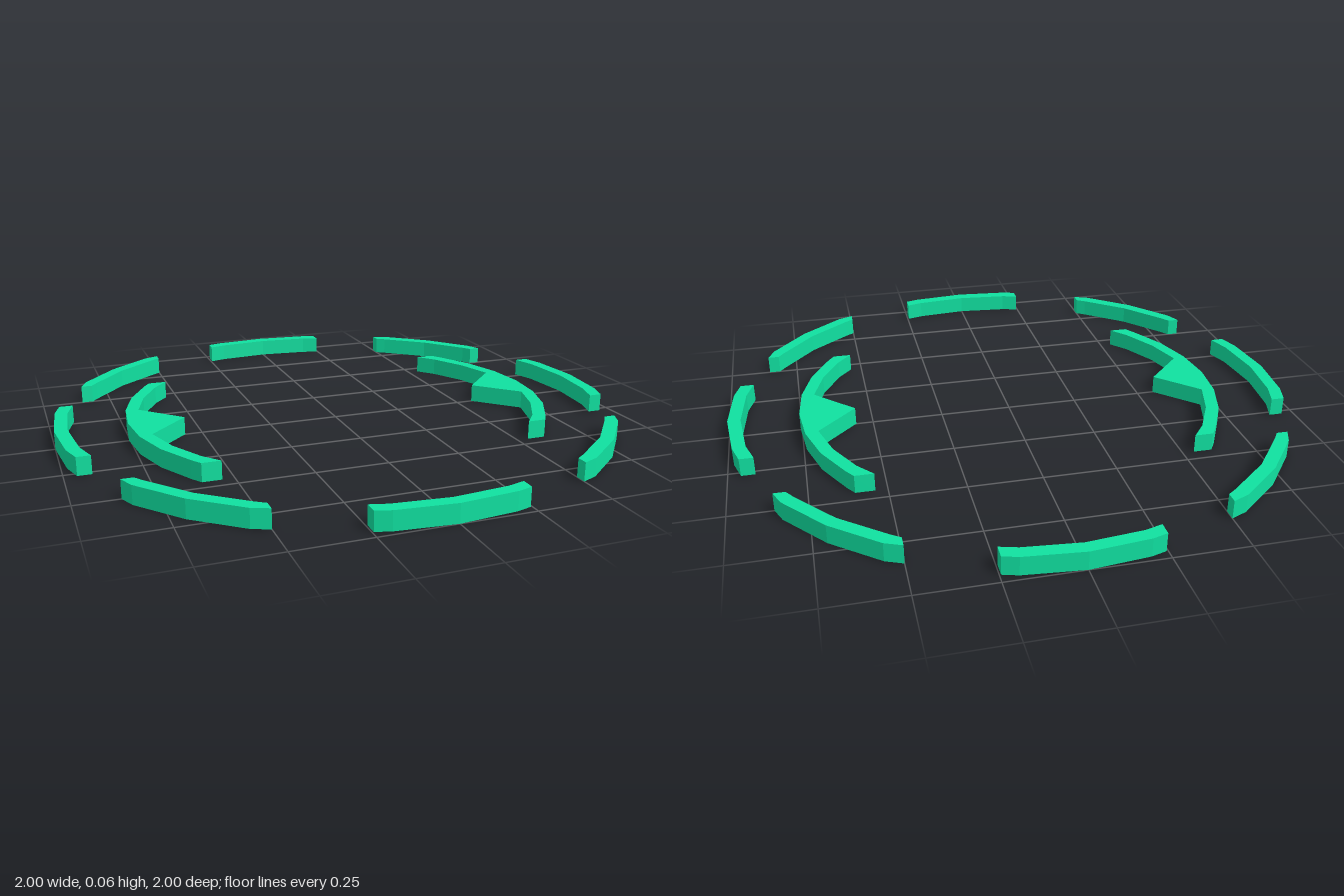
import * as THREE from 'three';

const HEIGHT = 0.063;
const STEP = Math.PI / 16; // the rings follow a 32-sided polygon

// Half of an arc edge: polygon corners from the x axis up to a trimmed end point
function halfEdge(radius, corners, end) {
  const pts = [];
  for (let i = 0; i <= corners; i++) {
    pts.push([radius * Math.cos(i * STEP), radius * Math.sin(i * STEP)]);
  }
  pts.push(end);
  return pts;
}

// Mirror a half edge across the x axis, giving the full edge from -y to +y
function fullEdge(half) {
  const lower = half.filter(p => p[1] > 0).map(([x, y]) => [x, -y]).reverse();
  return [...lower, ...half];
}

// Flat plate lying on the ground from its outer and inner edges
function plate(outer, inner) {
  const outline = [...fullEdge(outer), ...fullEdge(inner).reverse()];
  const shape = new THREE.Shape(outline.map(([x, y]) => new THREE.Vector2(x, y)));
  const geometry = new THREE.ExtrudeGeometry(shape, { depth: HEIGHT, bevelEnabled: false });
  return geometry.rotateX(-Math.PI / 2);
}

export function createModel() {
  const group = new THREE.Group();
  const material = new THREE.MeshStandardMaterial({ color: 0x10e0a0, flatShading: true });

  function add(name, geometry, angle) {
    const mesh = new THREE.Mesh(geometry, material);
    mesh.name = name;
    mesh.rotation.y = angle;
    group.add(mesh);
  }

  const outerBar = (outerEnd, innerEnd) =>
    plate(halfEdge(1, 1, outerEnd), halfEdge(0.955, 1, innerEnd));

  // Outer ring: eight separate bars, trimmed differently by direction
  const sideBar = outerBar([0.958, 0.27], [0.911, 0.27]);
  const endBar = outerBar([0.966, 0.245], [0.92, 0.245]);
  const diagonalBar = outerBar([0.958, 0.251], [0.93, 0.223]);
  for (let i = 0; i < 8; i++) {
    const angle = i * Math.PI / 4;
    if (i % 2) add('diagonalBar', diagonalBar, angle);
    else if (i % 4) add('endBar', endBar, angle);
    else add('sideBar', sideBar, angle);
  }

  // Inner brackets: longer arcs with a pointer aimed at the centre
  const innerEdge = halfEdge(0.71, 3, [0.54, 0.455]);
  innerEdge[0] = [0.56, 0];
  const bracket = plate(halfEdge(0.755, 3, [0.604, 0.455]), innerEdge);
  add('leftBracket', bracket, 0);
  add('rightBracket', bracket, Math.PI);

  return group;
}
